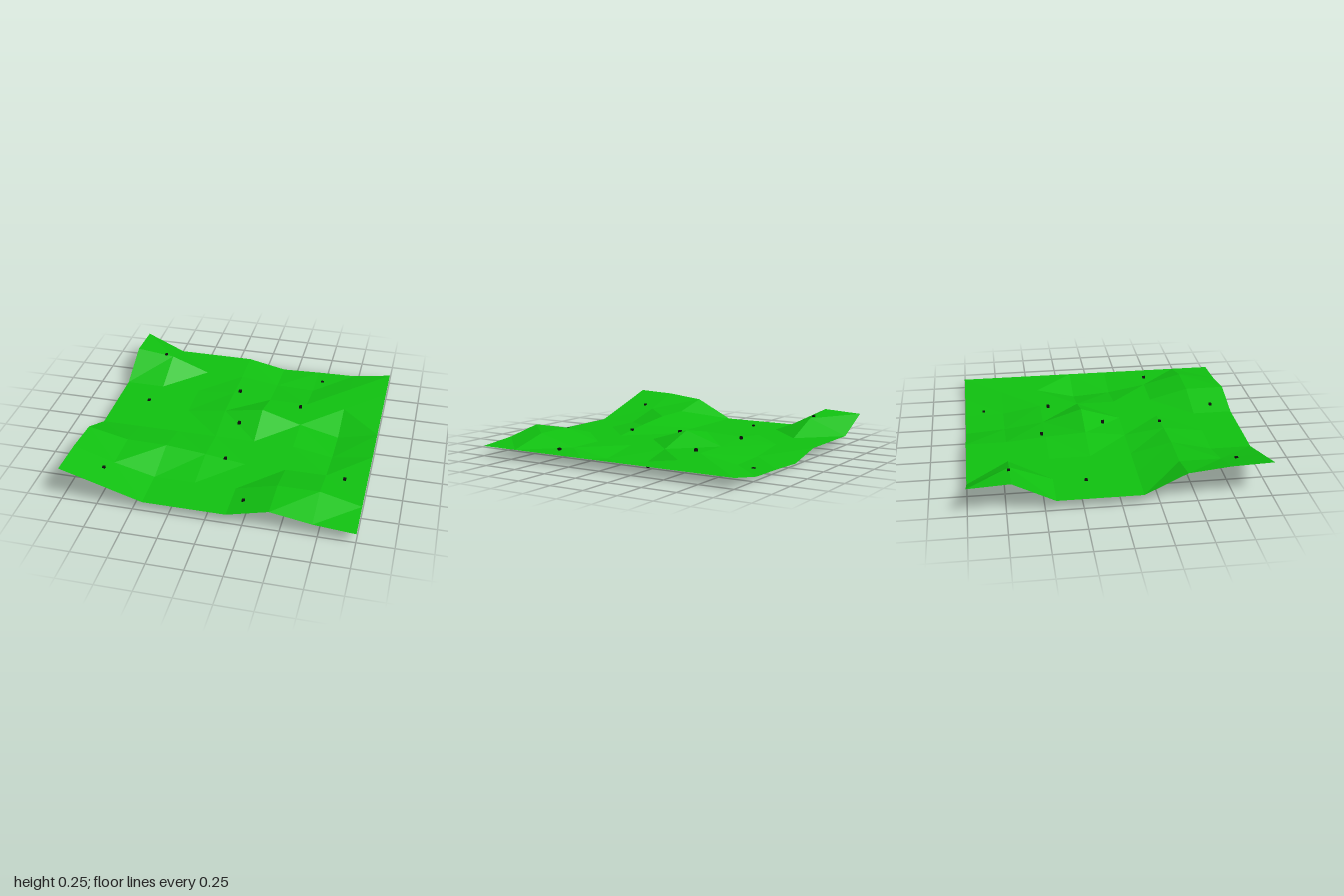
import * as THREE from 'three';

const N = 7; // cells per side

// Height at each grid corner: rows run back to front, columns left edge to right edge of x
const HEIGHTS = [
  [0.20, 0.07, 0.07, 0.07, 0.01, 0.02, 0.025, 0.07],
  [0.215, 0.18, 0.07, 0.07, 0.03, 0.02, 0.07, 0.07],
  [0.07, 0.07, 0.07, 0.095, 0.07, 0.07, 0.07, 0.07],
  [0.07, 0.07, 0.07, 0.11, 0.16, 0.07, 0.0, 0.07],
  [0.07, 0.07, 0.07, 0.07, 0.07, 0.07, 0.02, 0.07],
  [0.21, 0.145, 0.14, 0.11, 0.07, 0.07, 0.07, 0.07],
  [0.24, 0.145, 0.07, 0.07, 0.07, 0.145, 0.145, 0.07],
  [0.25, 0.16, 0.07, 0.07, 0.07, 0.145, 0.095, 0.07],
];

// Small marker positions: x, y, z
const MARKERS = [
  [-0.77, 0.185, -0.72], [0.48, 0.017, -0.86], [-0.1, 0.098, -0.455],
  [0.39, 0.08, -0.37], [-0.76, 0.07, -0.21], [0, 0.117, 0],
  [0, 0.092, 0.425], [0.845, 0.075, 0.45], [-0.755, 0.163, 0.81],
  [0.23, 0.095, 0.86], [0.845, 0.038, -0.28],
];

// Faceted ground; each cell is split along its shorter diagonal
function terrainGeometry() {
  const positions = [];
  const indices = [];
  HEIGHTS.forEach((row, j) => row.forEach((h, i) => {
    positions.push(-1 + (2 * i) / N, h, -1 + (2 * j) / N);
  }));
  for (let j = 0; j < N; j++) {
    for (let i = 0; i < N; i++) {
      const a = j * (N + 1) + i, d = a + 1;
      const b = a + N + 1, c = b + 1;
      const rise = (p, q) => Math.abs(positions[p * 3 + 1] - positions[q * 3 + 1]);
      if (rise(a, c) < rise(b, d) - 1e-6) indices.push(a, b, c, a, c, d);
      else indices.push(a, b, d, b, c, d);
    }
  }
  const indexed = new THREE.BufferGeometry();
  indexed.setAttribute('position', new THREE.Float32BufferAttribute(positions, 3));
  indexed.setIndex(indices);
  const flat = indexed.toNonIndexed();
  flat.computeVertexNormals();
  return flat;
}

export function createModel() {
  const model = new THREE.Group();
  model.name = 'terrainPatch';

  const grass = new THREE.MeshStandardMaterial({ color: 0x10c010, side: THREE.DoubleSide, flatShading: true });
  grass.name = 'grassGreen';
  const black = new THREE.MeshStandardMaterial({ color: 0x0c0c0c });
  black.name = 'markerBlack';

  const ground = new THREE.Mesh(terrainGeometry(), grass);
  ground.name = 'ground';
  model.add(ground);

  // Tiny cubes scattered over the ground
  const markers = new THREE.Group();
  markers.name = 'markers';
  const cube = new THREE.BoxGeometry(0.02, 0.02, 0.02);
  for (const [x, y, z] of MARKERS) {
    const marker = new THREE.Mesh(cube, black);
    marker.name = 'marker';
    marker.position.set(x, y, z);
    markers.add(marker);
  }
  model.add(markers);

  return model;
}
